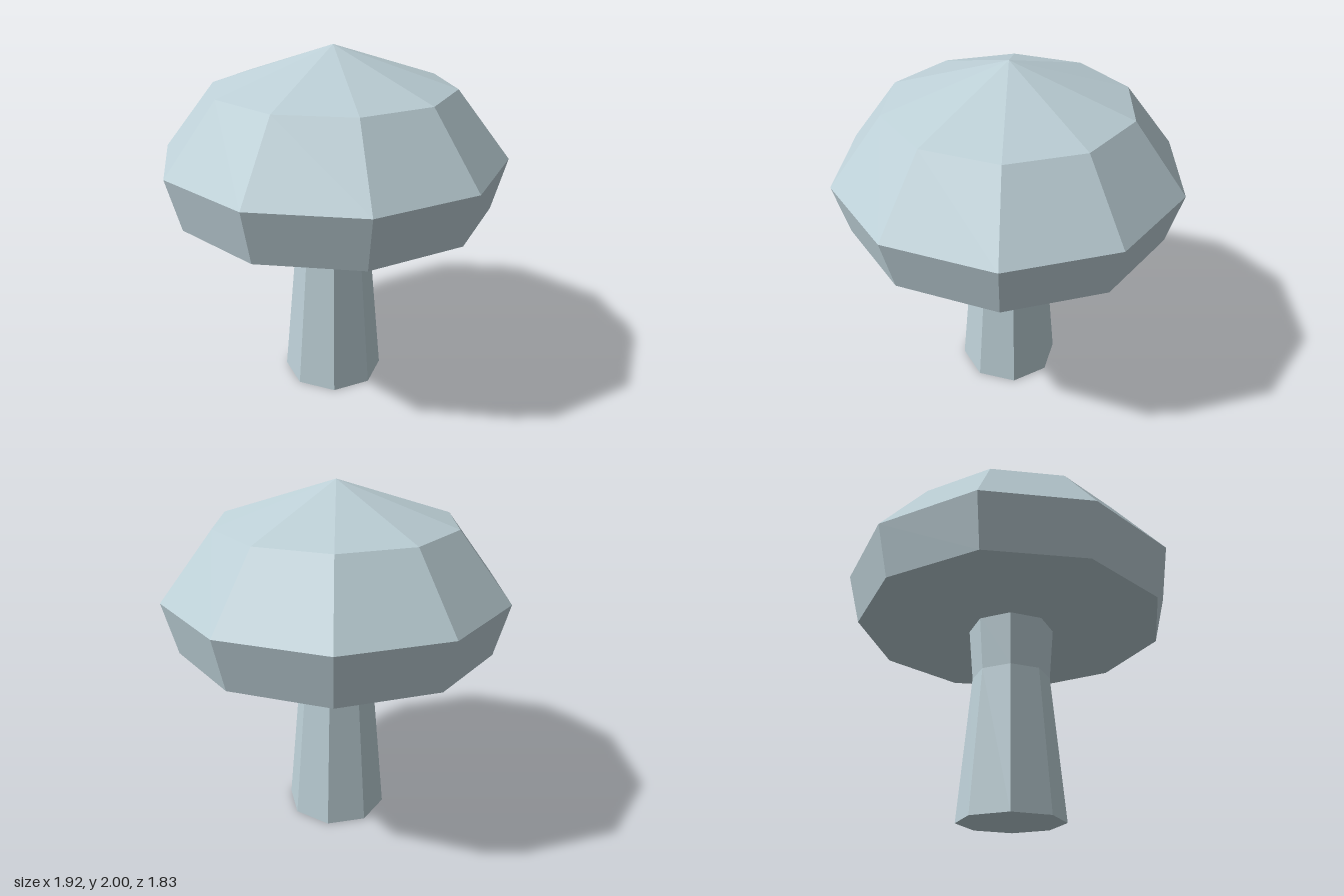
import * as THREE from 'three';

const paleBlueGrey = new THREE.MeshStandardMaterial({ color: 0xbdd0d7, flatShading: true });
paleBlueGrey.name = 'paleBlueGrey';

// Faceted solid of revolution from [radius, height] pairs, bottom to top,
// with a corner on the +x axis
function facetedLathe(name, profile, sides) {
  const points = profile.map(([r, y]) => new THREE.Vector2(r, y));
  const geometry = new THREE.LatheGeometry(points, sides, Math.PI / 2);
  const mesh = new THREE.Mesh(geometry, paleBlueGrey);
  mesh.name = name;
  return mesh;
}

export function createModel() {
  const group = new THREE.Group();
  group.name = 'mushroom';

  // Eight-sided stem, narrowest below the cap
  group.add(facetedLathe('stem', [[0, 0], [0.295, 0], [0.221, 0.815], [0.247, 1.13]], 8));

  // Ten-sided cap: flat underside, inward-sloping rim, shoulder and low peak
  group.add(facetedLathe('cap', [[0, 1.115], [0.888, 1.115], [0.962, 1.408], [0.667, 1.78], [0, 2]], 10));

  return group;
}
